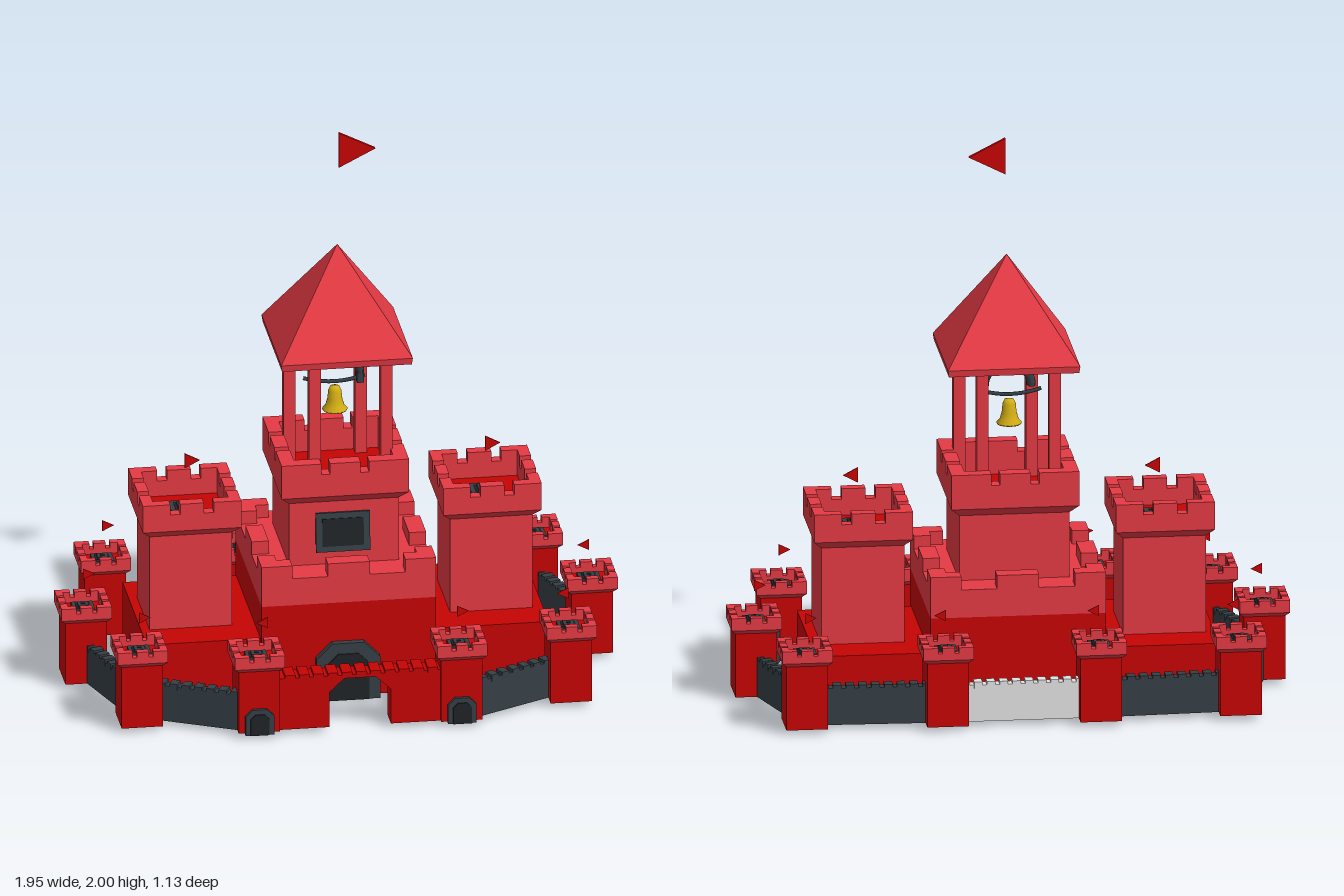
import * as THREE from 'three';

const mat = (name, color, extra = {}) => Object.assign(new THREE.MeshStandardMaterial({ color, ...extra }), { name });

export function createModel() {
  const root = new THREE.Group();
  root.name = 'castle';
  const darkRed = mat('darkRed', 0xc60404);
  const lightRed = mat('lightRed', 0xe43a43);
  const slate = mat('slate', 0x353f45);
  const black = mat('nearBlack', 0x1f2427);
  const gold = mat('gold', 0xd4ae14, { side: THREE.DoubleSide });
  const pale = mat('paleGrey', 0xe2e2e2);
  const CZ = -0.067; // z of the keep and its flanking towers

  const add = (parent, name, geo, m, x = 0, y = 0, z = 0) => {
    const mesh = new THREE.Mesh(geo, m);
    mesh.name = name;
    mesh.position.set(x, y, z);
    parent.add(mesh);
    return mesh;
  };
  const group = (name, x = 0, z = 0, parent = root) => {
    const g = new THREE.Group();
    g.name = name;
    g.position.set(x, 0, z);
    parent.add(g);
    return g;
  };
  // box given by its bottom and top heights
  const block = (p, name, w, d, y0, y1, m, x = 0, z = 0) =>
    add(p, name, new THREE.BoxGeometry(w, y1 - y0, d), m, x, (y0 + y1) / 2, z);
  // square frustum
  const taper = (p, name, wBottom, wTop, y0, y1, m) => {
    const g = new THREE.CylinderGeometry(wTop / Math.SQRT2, wBottom / Math.SQRT2, y1 - y0, 4).rotateY(Math.PI / 4);
    add(p, name, g.toNonIndexed(), m, 0, (y0 + y1) / 2, 0).geometry.computeVertexNormals();
  };
  const polygon = (pts) => new THREE.Shape(pts.map(([x, y]) => new THREE.Vector2(x, y)));
  const extrude = (shape, depth) => new THREE.ExtrudeGeometry(shape, { depth, bevelEnabled: false });
  // square ring of walls, open above and below
  const squareRing = (p, name, w, t, y0, y1, m) => {
    const h = w / 2, k = h - t;
    const ring = polygon([[-h, -h], [h, -h], [h, h], [-h, h]]);
    ring.holes.push(polygon([[-k, -k], [-k, k], [k, k], [k, -k]]));
    add(p, name, extrude(ring, y1 - y0).rotateX(-Math.PI / 2), m, 0, y0, 0);
  };

  // three merlons a side: corner pieces and one in the middle
  const merlons = (p, w, t, y0, y1, gap) => {
    const mid = w * 0.24, c = (w - mid) / 2 - gap;
    for (let i = 0; i < 4; i++) {
      const side = group('merlonSide', 0, 0, p);
      side.rotation.y = i * Math.PI / 2;
      block(side, 'merlon', mid, t, y0, y1, lightRed, 0, w / 2 - t / 2);
      block(side, 'cornerMerlon', c, t, y0, y1, lightRed, -w / 2 + c / 2, w / 2 - t / 2);
      block(side, 'cornerMerlon', c - t, t, y0, y1, lightRed, w / 2 - t - (c - t) / 2, w / 2 - t / 2);
    }
  };
  // hollow battlement with a flared foot
  const crown = (p, bodyW, w, t, y0, yGap, yTop, gap) => {
    const yRing = y0 + (w - bodyW) / 2, floor = w - 2 * t;
    taper(p, 'crownFlare', bodyW, w, y0, yRing, lightRed);
    squareRing(p, 'crownRing', w, t, yRing, yGap, lightRed);
    block(p, 'crownFloor', floor, floor, yRing - 0.005, yRing + 0.005, darkRed);
    merlons(p, w, t, yGap, yTop, gap);
  };
  // stepped square hatch on a tower top
  const hatch = (p, w, y) => {
    block(p, 'hatch', w, w, y, y + 0.014, slate);
    block(p, 'hatchGroove', w * 0.68, w * 0.68, y + 0.014, y + 0.016, black);
    block(p, 'hatchStep', w * 0.5, w * 0.5, y + 0.014, y + 0.022, slate);
    block(p, 'hatchCore', w * 0.2, w * 0.2, y + 0.022, y + 0.024, black);
  };
  // pennant; len may be negative to point the other way
  const flag = (p, x, y, len, h, t) => {
    const pts = [[0, -h / 2], [len, 0], [0, h / 2]];
    add(p, 'flag', extrude(polygon(len > 0 ? pts : pts.reverse()), t), darkRed, x, y, -t / 2);
  };

  // outer towers: x, z, flag start, flag length
  const outer = [
    [-0.76, -0.46, 0, 0.04], [-0.27, -0.48, 0, 0.04], [0.265, -0.48, 0, 0.04], [0.755, -0.46, 0, -0.04],
    [-0.89, -0.045, 0, 0.04], [0.885, -0.045, 0, -0.04], [-0.755, 0.37, 0, 0.04], [0.75, 0.37, 0, -0.04],
    [-0.36, 0.475, 0.04, -0.04], [0.35, 0.475, -0.005, 0.04],
  ];
  for (const [x, z, fx, len] of outer) {
    const t = group('outerTower', x, z);
    block(t, 'towerBody', 0.145, 0.145, 0.02, 0.255, darkRed);
    crown(t, 0.145, 0.176, 0.026, 0.25, 0.29, 0.31, 0.015);
    hatch(t, 0.075, 0.27);
    flag(t, fx, 0.402, len, 0.04, 0.004);
  }

  // chamfered arch outline
  const arch = (w, y0, y1, c) => [[-w, y0], [w, y0], [w, y1 - c], [w - c, y1], [c - w, y1], [-w, y1 - c]];
  const door = (name, x, z, w, y0, y1, d) => {
    const g = group(name, x, z);
    add(g, 'doorFrame', extrude(polygon(arch(w, y0, y1, w * 0.5)), d), slate);
    add(g, 'doorPanel', extrude(polygon(arch(w * 0.65, y0, y1 - w * 0.35, w * 0.33)), 0.004), black, 0, 0, d);
  };
  door('mainGate', -0.005, 0.235, 0.112, 0.002, 0.215, 0.028);
  for (const x of [-0.36, 0.35]) door('towerDoor', x, 0.54, 0.05, 0.015, 0.11, 0.02);

  // curtain walls with small teeth
  const wall = ([x0, z0], [x1, z1], body) => {
    const len = Math.hypot(x1 - x0, z1 - z0);
    const g = group('curtainWall', (x0 + x1) / 2, (z0 + z1) / 2);
    g.rotation.y = -Math.atan2(z1 - z0, x1 - x0);
    block(g, 'wallBody', len, 0.038, 0.02, 0.152, body);
    const n = Math.round(len / 0.045);
    for (let i = 0; i < n; i++)
      block(g, 'wallTooth', len / n * 0.65, 0.04, 0.14, 0.163, body, -len / 2 + (i + 0.5) * len / n);
  };
  for (const [a, b] of [[0, 1], [2, 3], [4, 0], [5, 3], [4, 6], [5, 7]]) wall(outer[a], outer[b], slate);
  for (const s of [-1, 1]) wall([s * 0.41 - 0.003, 0.503], [s * 0.69 - 0.003, 0.363], slate);
  wall(outer[1], outer[2], pale);

  // front wall with a gate opening
  const front = group('frontWall', 0, 0.46);
  const o = 0.113;
  add(front, 'frontWallBody', extrude(polygon([
    [-0.3, 0.02], [-o, 0.02], [-o, 0.15], [-0.06, 0.2], [0.05, 0.2], [o - 0.01, 0.15], [o - 0.01, 0.02],
    [0.3, 0.02], [0.3, 0.212], [-0.3, 0.212],
  ]), 0.075), darkRed);
  for (let i = 0; i < 11; i++)
    block(front, 'frontWallTooth', 0.036, 0.078, 0.204, 0.223, darkRed, -0.25 + i * 0.05, 0.0375);

  // wings beside the keep, with their flanking towers
  for (const s of [-1, 1]) {
    const wing = group(s > 0 ? 'leftWing' : 'rightWing', s * 0.505, -0.072);
    block(wing, 'wingBlock', 0.4, 0.565, 0.015, 0.23, darkRed);
    block(wing, 'wingUnderside', 0.398, 0.563, 0.011, 0.015, pale);
    const t = group('innerTower', s * 0.527 - 0.003, CZ);
    block(t, 'innerTowerBody', 0.29, 0.29, 0.23, 0.59, lightRed);
    crown(t, 0.29, 0.345, 0.04, 0.58, 0.67, 0.708, 0.035);
    hatch(t, 0.105, 0.613);
    flag(t, 0, 0.797, 0.052, 0.055, 0.006);
  }

  // keep, hollow below
  const keep = group('keep', 0, CZ);
  squareRing(keep, 'keepBase', 0.612, 0.02, 0.009, 0.36, darkRed);
  block(keep, 'keepUpperBase', 0.612, 0.612, 0.36, 0.46, lightRed);
  merlons(keep, 0.612, 0.06, 0.46, 0.508, 0.125);
  block(keep, 'keepTier', 0.385, 0.385, 0.46, 0.71, lightRed);
  crown(keep, 0.385, 0.447, 0.05, 0.695, 0.81, 0.85, 0.03);

  // framed window, leaning in slightly at the top
  const win = group('keepWindow', -0.007, 0.212, keep);
  win.position.y = 0.587;
  win.rotation.x = -0.1;
  add(win, 'windowFrame', new THREE.BoxGeometry(0.19, 0.142, 0.01), slate);
  add(win, 'windowPane', new THREE.BoxGeometry(0.145, 0.1, 0.004), black, 0, 0, 0.006);

  // belfry: four posts placed off-centre on each side, under a pyramid roof
  const belfry = group('belfry', 0.005, CZ);
  for (const [x, z] of [[0.155, 0.104], [-0.104, 0.155], [-0.155, -0.104], [0.104, -0.155]])
    block(belfry, 'belfryPost', 0.041, 0.041, 0.72, 1.215, lightRed, x, z);
  taper(belfry, 'roofEave', 0.455, 0.462, 1.208, 1.232, lightRed);
  taper(belfry, 'roof', 0.462, 0.0005, 1.232, 1.58, lightRed);
  flag(belfry, 0.005, 1.935, 0.128, 0.13, 0.014);

  // bell with its hanging arch and yoke
  const bell = group('bell', -0.005, CZ + 0.01);
  const half = new THREE.TorusGeometry(0.082, 0.016, 8, 20, Math.PI);
  add(bell, 'bellArch', half.scale(1, 1, 1.6), slate, 0.005, 1.1, 0);
  block(bell, 'archFoot', 0.024, 0.04, 1.065, 1.11, slate, 0.087);
  const yoke = new THREE.QuadraticBezierCurve3(
    new THREE.Vector3(-0.112, 1.087, 0), new THREE.Vector3(0, 1.05, 0), new THREE.Vector3(0.105, 1.087, 0));
  add(bell, 'bellYoke', new THREE.TubeGeometry(yoke, 12, 0.007, 6), slate);
  const profile = [[0.002, 1.054], [0.016, 1.05], [0.023, 1.035], [0.026, 1.005], [0.033, 0.98], [0.044, 0.967], [0.042, 0.962], [0.028, 0.975]];
  add(bell, 'bellBody', new THREE.LatheGeometry(profile.map(([r, y]) => new THREE.Vector2(r, y)).reverse(), 20), gold);
  add(bell, 'bellClapper', new THREE.SphereGeometry(0.012, 10, 8), gold, 0, 0.962, 0);

  return root;
}
